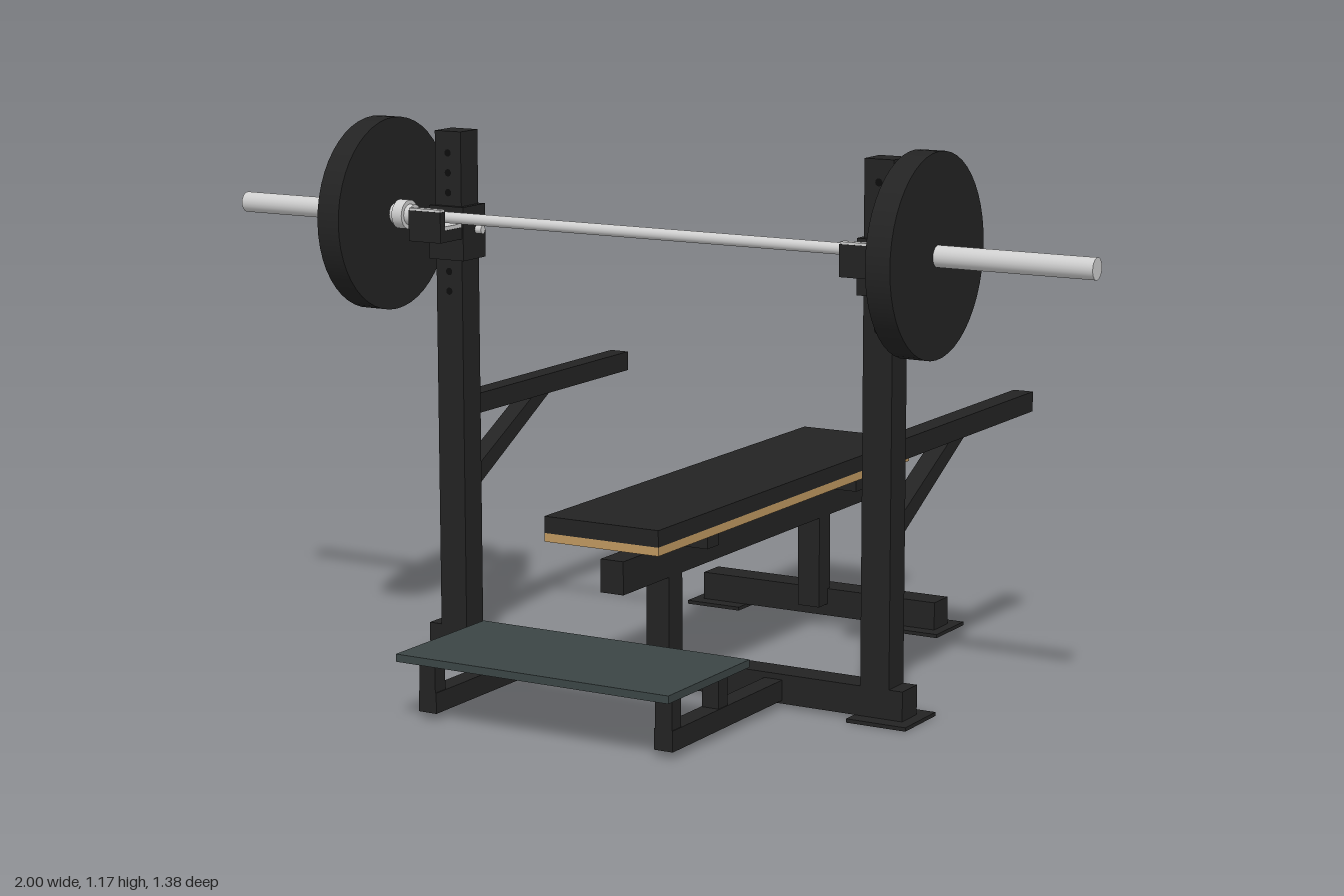
import * as THREE from 'three';

const mat = (name, color) => {
  const m = new THREE.MeshStandardMaterial({ color });
  m.name = name;
  return m;
};

export function createModel() {
  const steel = mat('black steel', 0x232323);
  const hole = mat('hole black', 0x0c0c0c);
  const chrome = mat('chrome', 0xcfcfcf);
  const wood = mat('plywood', 0xbf9860);
  const tread = mat('grey green tread', 0x3b4545);
  const model = new THREE.Group();
  model.name = 'benchPress';

  // Box given by its limits on each axis
  const box = (name, m, [x0, x1], [y0, y1], [z0, z1]) => {
    const mesh = new THREE.Mesh(new THREE.BoxGeometry(x1 - x0, y1 - y0, z1 - z0), m);
    mesh.position.set((x0 + x1) / 2, (y0 + y1) / 2, (z0 + z1) / 2);
    mesh.name = name;
    model.add(mesh);
    return mesh;
  };
  // Cylinder lying along x
  const rod = (name, m, r, x0, x1, y, z, sides = 20) => {
    const g = new THREE.CylinderGeometry(r, r, Math.abs(x1 - x0), sides).rotateZ(Math.PI / 2);
    const mesh = new THREE.Mesh(g, m);
    mesh.position.set((x0 + x1) / 2, y, z);
    mesh.name = name;
    model.add(mesh);
  };
  // Limits around a centre
  const about = (c, half) => [c - half, c + half];

  // Bench
  box('benchPad', steel, [-0.135, 0.135], [0.36, 0.395], [-0.69, 0.42]);
  box('benchBoard', wood, [-0.135, 0.135], [0.342, 0.36], [-0.69, 0.42]);
  box('benchBeam', steel, [-0.027, 0.027], [0.24, 0.31], [-0.67, 0.378]);
  for (const z of [0.17, -0.488]) box('padBracket', steel, [-0.118, 0.118], [0.31, 0.342], about(z, 0.024));
  box('frontPost', steel, [-0.027, 0.027], [0.07, 0.24], [0.142, 0.197]);
  box('rearPost', steel, [-0.027, 0.027], [0.035, 0.24], [-0.514, -0.463]);

  // Floor beams
  box('frontCrossBeam', steel, [-0.573, 0.573], [0.008, 0.07], [0.135, 0.2]);
  box('rearCrossBeam', steel, [-0.295, 0.295], [0.008, 0.07], [-0.57, -0.504]);

  // Foot rest
  box('footPlate', tread, [-0.318, 0.318], [0.127, 0.143], [0.372, 0.69]);

  // Safety arm brace outline, drawn in the z-y plane
  const braceShape = new THREE.Shape([
    [-0.138, 0.363], [-0.138, 0.408], [0.094, 0.532], [0.165, 0.532],
  ].map(([a, b]) => new THREE.Vector2(a, b)));

  for (const s of [-1, 1]) {
    const x = s * 0.51;

    // Feet and upright
    box('frontFoot', steel, about(s * 0.531, 0.067), [0, 0.008], [0.1, 0.235]);
    box('rearFoot', steel, about(s * 0.251, 0.067), [0, 0.008], [-0.605, -0.47]);
    box('upright', steel, about(x, 0.0325), [0.008, 1.14], [0.136, 0.2]);
    for (let i = 0; i < 8; i++) {
      const dot = new THREE.Mesh(new THREE.CircleGeometry(0.008, 12), hole);
      dot.position.set(x, 0.8 + i * 0.042, 0.201);
      dot.name = 'uprightHole';
      model.add(dot);
    }

    // Safety arm and brace
    box('safetyArm', steel, about(x, 0.0225), [0.527, 0.57], [-0.488, 0.138]);
    const brace = new THREE.Mesh(
      new THREE.ExtrudeGeometry(braceShape, { depth: 0.04, bevelEnabled: false }), steel);
    brace.rotation.y = Math.PI / 2;
    brace.position.x = x - 0.02;
    brace.name = 'armBrace';
    model.add(brace);

    // Bar hook with its bright liner
    box('hookSleeve', steel, about(x, 0.043), [0.868, 0.982], [0.126, 0.21]);
    box('hookShelf', steel, about(x, 0.04), [0.915, 0.94], [0.21, 0.29]);
    box('hookLip', steel, about(x, 0.04), [0.94, 0.98], [0.272, 0.29]);
    box('shelfLiner', chrome, about(x, 0.039), [0.94, 0.948], [0.21, 0.272]);
    box('lipLiner', chrome, about(x, 0.039), [0.98, 0.985], [0.272, 0.289]);
    rod('hookPin', chrome, 0.009, x - 0.058, x + 0.058, 0.93, 0.157, 12);

    // Foot rest frame
    const fx = about(s * 0.277, 0.021);
    box('footRail', steel, fx, [0.015, 0.058], [0.2, 0.64]);
    for (const z of [0.622, 0.44]) box('footPost', steel, about(s * 0.277, 0.019), [0.058, 0.127], about(z, 0.018));

    // Weight plate, sleeve and collar
    rod('weightPlate', steel, 0.204, s * 0.612, s * 0.665, 0.965, 0.25, 48);
    rod('barSleeve', chrome, 0.022, s * 0.562, s, 0.965, 0.25);
    rod('barCollar', chrome, 0.031, s * 0.575, s * 0.6, 0.965, 0.25);
  }
  rod('barGrip', chrome, 0.012, -0.565, 0.565, 0.965, 0.25);

  return model;
}
